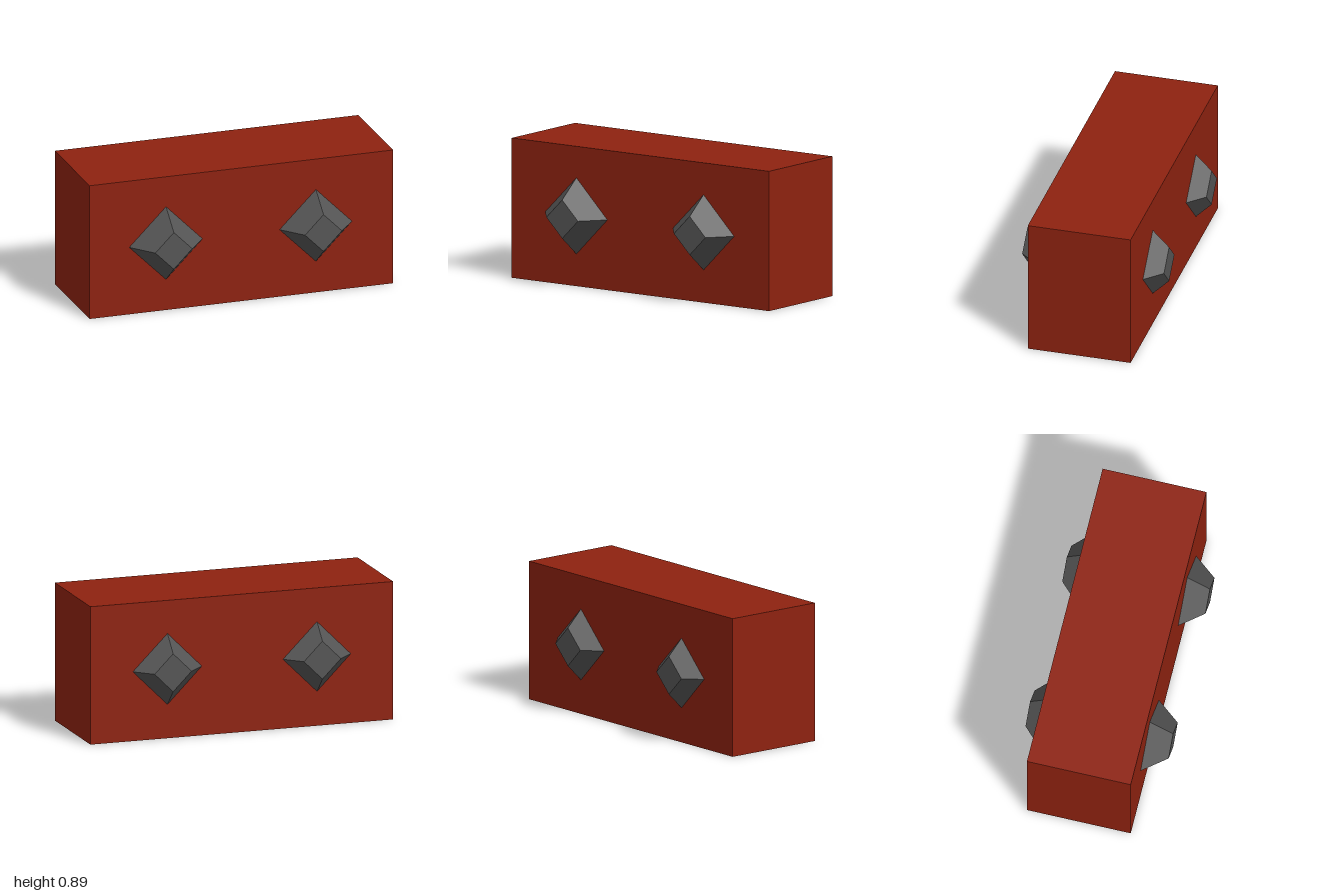
import * as THREE from 'three';

export function createModel() {
  const model = new THREE.Group();
  model.name = 'studdedBlock';

  const red = new THREE.MeshStandardMaterial({ color: 0x8e2210 });
  red.name = 'brickRed';
  const grey = new THREE.MeshStandardMaterial({ color: 0x555555 });
  grey.name = 'darkGrey';

  // Main block, with its front and back very slightly out of square
  const height = 0.886;
  const block = new THREE.BoxGeometry(2, height, 0.666);
  block.translate(0, height / 2, -0.02);
  const p = block.attributes.position;
  for (let i = 0; i < p.count; i++) p.setZ(i, p.getZ(i) + 0.004 * (p.getX(i) - 0.5));
  block.computeVertexNormals();
  const body = new THREE.Mesh(block, red);
  body.name = 'block';
  model.add(body);

  // Truncated diamond stud between two depths, pointing along side * z
  function addStud(name, x, side, baseZ, baseRadius) {
    const tipZ = 0.459;
    const depth = tipZ - baseZ;
    const geometry = new THREE.CylinderGeometry(0.122, baseRadius, depth, 4).toNonIndexed();
    geometry.rotateX(side * Math.PI / 2);
    geometry.computeVertexNormals();
    const stud = new THREE.Mesh(geometry, grey);
    stud.name = name;
    stud.position.set(x, 0.445, side * (baseZ + depth / 2));
    model.add(stud);
  }

  // Two studs on each long face, their bases sunk a little into the block
  for (const [sideName, x] of [['Right', -0.497], ['Left', 0.491]]) {
    addStud('frontStud' + sideName, x, 1, 0.295, 0.253);
    addStud('backStud' + sideName, x, -1, 0.335, 0.246);
  }

  return model;
}
